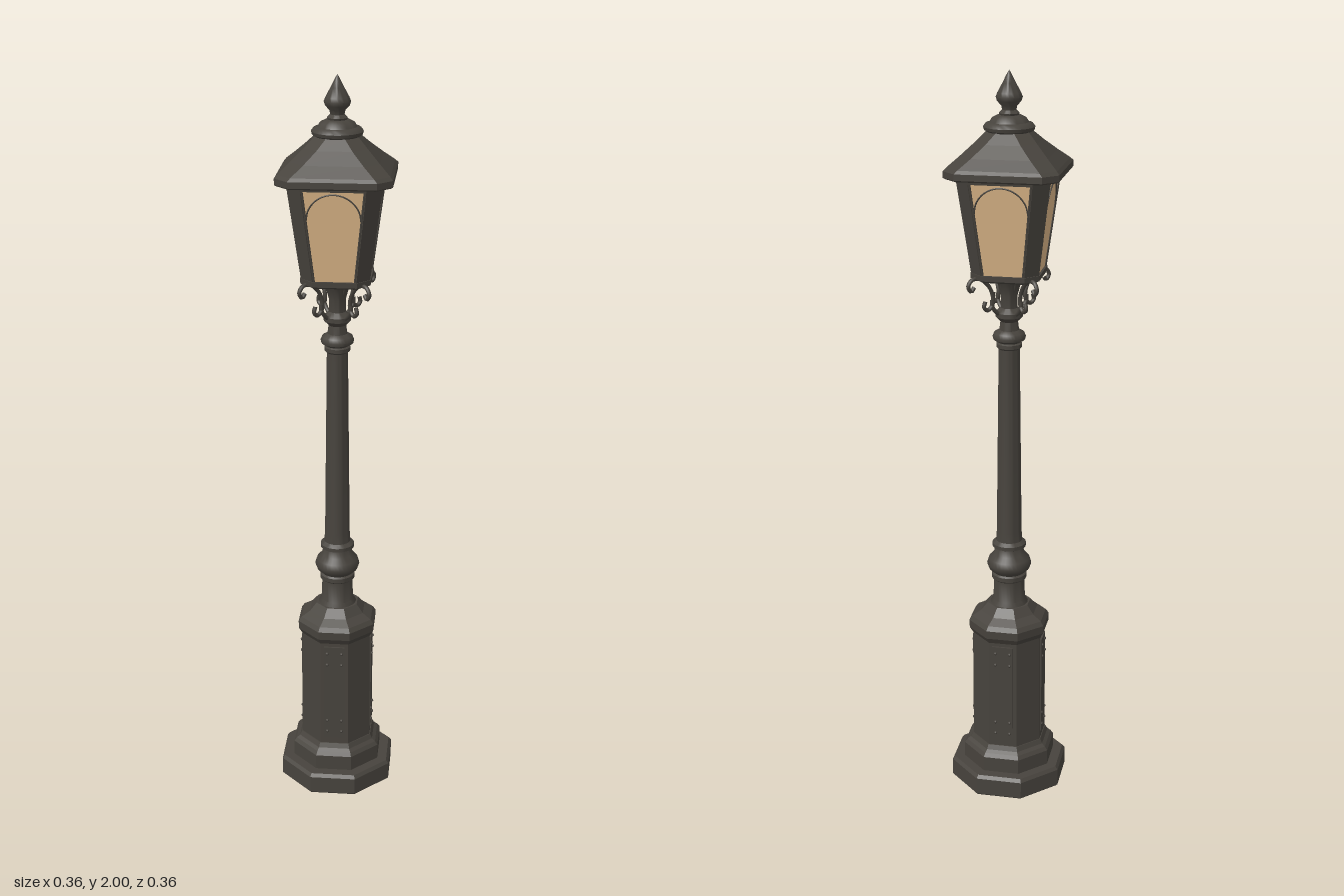
import * as THREE from 'three';
import { toCreasedNormals } from 'three/addons/utils/BufferGeometryUtils.js';

const iron = new THREE.MeshStandardMaterial({ color: 0x47433d });
iron.name = 'dark iron';
const glass = new THREE.MeshStandardMaterial({ color: 0xd8b486 });
glass.name = 'amber glass';

const OCT = Math.tan(Math.PI / 8);

function add(parent, name, geometry, material = iron) {
  const mesh = new THREE.Mesh(geometry, material);
  mesh.name = name;
  parent.add(mesh);
  return mesh;
}

// Eight-sided loft; each section is [y, reach along the axes, half width of the axis-facing side]
function loft(sections) {
  const rings = sections.map(([y, r, c = r * OCT]) => {
    const ring = [];
    for (let k = 0; k < 4; k++) {
      for (const s of [-c, c]) {
        const a = Math.atan2(s, r) + k * Math.PI / 2, d = Math.hypot(r, s);
        ring.push([Math.cos(a) * d, y, Math.sin(a) * d]);
      }
    }
    return ring;
  });
  const out = [];
  const tri = (...pts) => pts.forEach((p) => out.push(...p));
  const top = rings[rings.length - 1], bottom = rings[0];
  for (let i = 0; i < 8; i++) {
    const j = (i + 1) % 8;
    for (let n = 0; n < rings.length - 1; n++) {
      const lo = rings[n], hi = rings[n + 1];
      tri(lo[j], lo[i], hi[i]);
      tri(lo[j], hi[i], hi[j]);
    }
    tri([0, top[0][1], 0], top[j], top[i]);
    tri([0, bottom[0][1], 0], bottom[i], bottom[j]);
  }
  const g = new THREE.BufferGeometry();
  g.setAttribute('position', new THREE.Float32BufferAttribute(out, 3));
  g.computeVertexNormals();
  return g;
}

// Round turned part from [radius, y] points
function turned(points) {
  const g = new THREE.LatheGeometry(points.map(([r, y]) => new THREE.Vector2(r, y)), 32);
  return toCreasedNormals(g, 0.7);
}

function curveTube(points, radius) {
  const path = new THREE.CatmullRomCurve3(points.map(([x, y, z = 0]) => new THREE.Vector3(x, y, z)));
  return new THREE.TubeGeometry(path, points.length * 5, radius, 8);
}

function rod(a, b, radius) {
  return new THREE.TubeGeometry(new THREE.LineCurve3(new THREE.Vector3(...a), new THREE.Vector3(...b)), 1, radius, 6);
}

export function createModel() {
  const model = new THREE.Group();
  model.name = 'streetLamp';

  // Octagonal base
  add(model, 'plinth', loft([[0, 0.148], [0.005, 0.153], [0.053, 0.153], [0.062, 0.146]]));
  add(model, 'baseStep', loft([[0.06, 0.12], [0.105, 0.12], [0.115, 0.113], [0.122, 0.104], [0.135, 0.098]]));
  add(model, 'pedestal', loft([[0.12, 0.096], [0.465, 0.093]]));
  add(model, 'pedestalCap', loft([
    [0.455, 0.094], [0.472, 0.104], [0.495, 0.105], [0.507, 0.097], [0.522, 0.074], [0.545, 0.056],
  ]));

  // Riveted panels on the diagonal sides of the pedestal
  for (let k = 0; k < 4; k++) {
    const side = new THREE.Group();
    side.name = 'pedestalPanel';
    side.rotation.y = Math.PI / 4 + k * Math.PI / 2;
    add(side, 'panel', new THREE.BoxGeometry(0.058, 0.29, 0.006)).position.set(0, 0.3, 0.095);
    for (const x of [-0.02, 0.02]) {
      for (const y of [0.175, 0.21, 0.39, 0.425]) {
        add(side, 'rivet', new THREE.SphereGeometry(0.0045, 8, 6)).position.set(x, y, 0.098);
      }
    }
    model.add(side);
  }

  // Column with its turned rings
  add(model, 'column', turned([
    [0, 0.53], [0.052, 0.535], [0.052, 0.545], [0.044, 0.555], [0.042, 0.615], [0.048, 0.62],
    [0.048, 0.632], [0.043, 0.636], [0.056, 0.648], [0.061, 0.662], [0.056, 0.678], [0.043, 0.692],
    [0.038, 0.71], [0.046, 0.714], [0.046, 0.724], [0.036, 0.732], [0.034, 0.76], [0.028, 1.28],
    [0.034, 1.285], [0.034, 1.295], [0.029, 1.298], [0.042, 1.306], [0.044, 1.314], [0.04, 1.324],
    [0.026, 1.332], [0.023, 1.355], [0.036, 1.368], [0.036, 1.38], [0.022, 1.392], [0.022, 1.425],
    [0.03, 1.455], [0.046, 1.48], [0, 1.48],
  ]));

  // Scroll brackets under the four lantern corners
  for (let k = 0; k < 4; k++) {
    const bracket = new THREE.Group();
    bracket.name = 'scrollBracket';
    bracket.rotation.y = k * Math.PI / 2;
    add(bracket, 'scroll', curveTube([
      [0.074, 1.418], [0.078, 1.402], [0.066, 1.393], [0.052, 1.407], [0.052, 1.432], [0.066, 1.46],
      [0.092, 1.48], [0.116, 1.479], [0.126, 1.463], [0.117, 1.45], [0.108, 1.46],
    ], 0.0055));
    add(bracket, 'scrollArm', curveTube([[0.02, 1.374], [0.038, 1.382], [0.053, 1.402], [0.054, 1.42]], 0.0055));
    add(bracket, 'scrollTop', curveTube([[0.02, 1.44], [0.03, 1.462], [0.05, 1.478], [0.08, 1.482]], 0.006));
    model.add(bracket);
  }

  // Lantern body
  add(model, 'lanternFloor', loft([[1.474, 0.092, 0.02], [1.48, 0.104, 0.023], [1.494, 0.105, 0.023]]));
  add(model, 'lanternGlass', loft([[1.49, 0.097, 0.022], [1.748, 0.14, 0.026]]), glass);
  add(model, 'lanternTopRail', loft([[1.732, 0.143, 0.027], [1.75, 0.146, 0.028]]));

  for (let k = 0; k < 4; k++) {
    // Flat corner post that leans outwards
    const corner = new THREE.Group();
    corner.name = 'lanternCorner';
    corner.rotation.y = k * Math.PI / 2;
    const post = new THREE.BoxGeometry(0.014, 0.256, 0.052);
    const p = post.attributes.position;
    for (let i = 0; i < p.count; i++) {
      const t = p.getY(i) / 0.256 + 0.5;
      p.setX(i, p.getX(i) + 0.095 + 0.043 * t);
      p.setZ(i, p.getZ(i) * (0.88 + 0.16 * t));
    }
    post.translate(0, 1.618, 0);
    post.computeVertexNormals();
    add(corner, 'cornerPost', post);
    model.add(corner);

    // Thin arch and side beads on each pane
    const pane = new THREE.Group();
    pane.name = 'paneTrim';
    pane.rotation.y = Math.PI / 4 + k * Math.PI / 2;
    const depth = (y) => 0.084 + (y - 1.49) * 0.136;
    const arch = [];
    for (let i = 0; i <= 8; i++) {
      const a = Math.PI * i / 8, y = 1.655 + 0.07 * Math.sin(a);
      arch.push([0.069 * Math.cos(a), y, depth(y)]);
    }
    add(pane, 'paneArch', curveTube(arch, 0.002));
    for (const s of [-1, 1]) {
      add(pane, 'paneBead', rod([s * 0.052, 1.49, depth(1.49)], [s * 0.079, 1.74, depth(1.74)], 0.003));
    }
    model.add(pane);
  }

  // Roof with chamfered corners
  add(model, 'roof', loft([
    [1.742, 0.176, 0.025], [1.746, 0.182, 0.026], [1.762, 0.182, 0.026], [1.77, 0.172, 0.026],
    [1.795, 0.132, 0.026], [1.825, 0.088, 0.025], [1.85, 0.056, 0.022],
  ]));

  // Crown and finial
  add(model, 'roofCrown', turned([
    [0, 1.842], [0.052, 1.845], [0.064, 1.853], [0.066, 1.861], [0.06, 1.869], [0.05, 1.872],
    [0.044, 1.882], [0.03, 1.889], [0, 1.892],
  ]));
  add(model, 'finial', turned([
    [0, 1.885], [0.024, 1.888], [0.026, 1.894], [0.018, 1.902], [0.02, 1.912], [0.031, 1.924],
    [0.034, 1.934], [0.03, 1.944], [0.017, 1.968], [0.007, 1.988], [0, 2],
  ]));

  return model;
}
